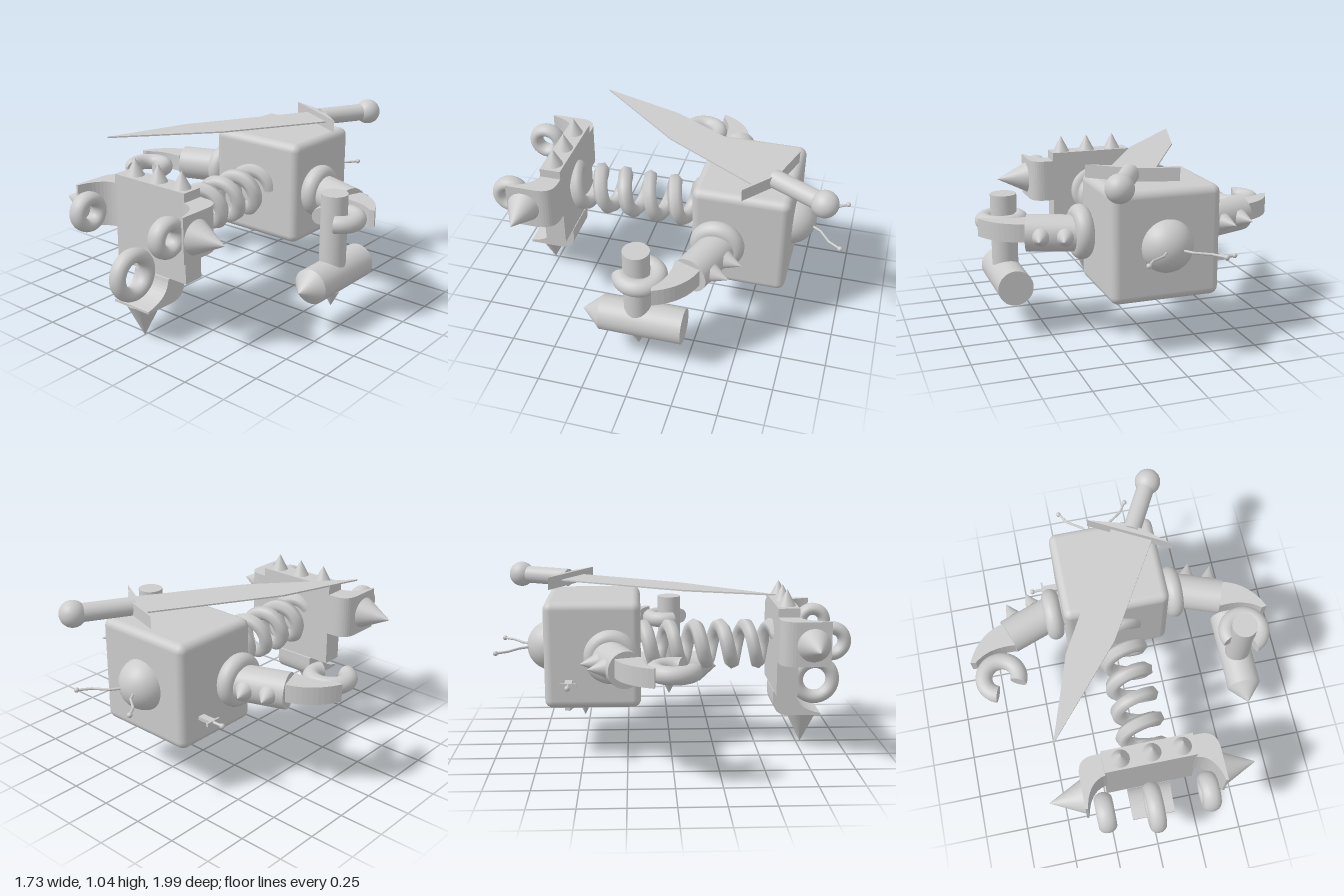
import * as THREE from 'three';
import { RoundedBoxGeometry } from 'three/addons/geometries/RoundedBoxGeometry.js';

const V = (x, y, z) => new THREE.Vector3(x, y, z);
const UP = V(0, 1, 0);

export function createModel() {
  const model = new THREE.Group();
  model.name = 'springRobot';
  const grey = new THREE.MeshStandardMaterial({ color: 0xcccccc });
  const thin = new THREE.MeshStandardMaterial({ color: 0xcccccc, side: THREE.DoubleSide });

  const add = (name, geo, pos = V(0, 0, 0), mat = grey) => {
    const mesh = new THREE.Mesh(geo, mat);
    mesh.name = name;
    mesh.position.copy(pos);
    model.add(mesh);
    return mesh;
  };
  // Cylinder or cone running from a to b
  const rod = (name, a, b, r0, r1 = r0, sides = 32) => {
    const d = b.clone().sub(a);
    const geo = new THREE.CylinderGeometry(r1, r0, d.length(), sides);
    const mesh = add(name, geo, a.clone().add(b).multiplyScalar(0.5));
    mesh.quaternion.setFromUnitVectors(UP, d.normalize());
    return mesh;
  };
  const ball = (name, pos, r) => add(name, new THREE.SphereGeometry(r, 32, 20), pos);
  const box = (name, w, h, d, pos) => add(name, new THREE.BoxGeometry(w, h, d), pos);
  // Plan outline in x and z, raised by a height in y
  const slab = (shape, height) => new THREE.ExtrudeGeometry(shape,
    { depth: height, bevelEnabled: false, curveSegments: 10 }).rotateX(-Math.PI / 2);
  const outline = pts => new THREE.Shape(pts.map(([x, z]) => new THREE.Vector2(x, -z)));

  // Body and head
  add('body', new RoundedBoxGeometry(0.6, 0.6, 0.535, 4, 0.045), V(0, 0.6, -0.44));
  ball('head', V(0, 0.6, -0.68), 0.145);
  for (const s of [-1, 1]) {
    const path = [[0.04, -0.8], [0.08, -0.86], [0.16, -0.915], [0.205, -0.98]].map(([x, z]) => V(s * x, 0.6, z));
    for (let i = 0; i < 3; i++) {
      rod('antenna', path[i], path[i + 1], 0.007, 0.007, 8);
      ball('antennaJoint', path[i + 1], i === 2 ? 0.014 : 0.007);
    }
  }

  // Face on the underside: eyes, brows and mouth
  for (const s of [-1, 1]) {
    rod('eye', V(s * 0.15, 0.3, -0.49), V(s * 0.15, 0.225, -0.49), 0.035, 0);
    box('brow', 0.18, 0.03, 0.03, V(s * 0.155, 0.29, -0.56)).rotation.y = s * 0.3;
  }
  const mouth = new THREE.TorusGeometry(0.085, 0.022, 12, 32, Math.PI).rotateX(-Math.PI / 2);
  add('mouth', mouth, V(0, 0.285, -0.325));

  // Switch on the right side
  box('switchBase', 0.09, 0.02, 0.04, V(-0.34, 0.46, -0.57));
  box('switchBar', 0.012, 0.02, 0.09, V(-0.385, 0.46, -0.57));
  rod('switchLever', V(-0.38, 0.46, -0.57), V(-0.45, 0.46, -0.57), 0.008);
  ball('switchKnob', V(-0.45, 0.46, -0.57), 0.015);

  // Spring between body and front bracket
  const coil = [];
  for (let i = 0; i <= 160; i++) {
    const a = i / 160 * Math.PI * 2 * 5.4;
    coil.push(V(0.105 * Math.cos(a), 0.6 + 0.105 * Math.sin(a), -0.19 + 0.8 * i / 160));
  }
  add('spring', new THREE.TubeGeometry(new THREE.CatmullRomCurve3(coil), 240, 0.042, 6), V(0, 0, 0), thin);

  // Arms
  for (const s of [-1, 1]) {
    add('shoulderRing', new THREE.TorusGeometry(0.1, 0.05, 20, 40).rotateY(Math.PI / 2), V(s * 0.355, 0.61, -0.335));
    const along = (t, n) => V(s * (0.38 + 0.94 * t + 0.34 * n), 0.605, -0.34 + 0.34 * t - 0.94 * n);
    rod('upperArm', along(-0.09, 0), along(0.265, 0), 0.1);
    for (const t of [0.05, 0.18]) rod('armSpike', along(t, 0.09), along(t, 0.187), 0.05, 0);

    // Curved, tapering forearm
    const arm = new THREE.Shape();
    arm.moveTo(s * 0.65, 0.31);
    arm.quadraticCurveTo(s * 0.8, 0.27, s * 0.865, 0.11);
    arm.lineTo(s * 0.835, 0.105);
    arm.quadraticCurveTo(s * 0.75, 0.18, s * 0.6, 0.165);
    add('forearm', slab(arm, 0.1), V(0, 0.57, 0));

    // Open ring hand with flat ends
    const start = THREE.MathUtils.degToRad(s < 0 ? 110 : 155);
    const arc = THREE.MathUtils.degToRad(275);
    const hand = V(s * 0.71, 0.62, -0.005);
    add('hand', new THREE.TorusGeometry(0.1, 0.048, 18, 40, arc).rotateZ(start).rotateX(Math.PI / 2), hand);
    for (const a of [start, start + arc]) {
      const end = V(hand.x + 0.1 * Math.cos(a), hand.y, hand.z + 0.1 * Math.sin(a));
      add('handEnd', new THREE.CircleGeometry(0.048, 18), end, thin).rotation.y = -a;
    }
  }

  // Hammer in the left hand
  const hx = 0.693;
  rod('hammerHandle', V(hx, 0.295, 0.018), V(hx, 0.765, 0.018), 0.073);
  rod('hammerHead', V(hx, 0.293, -0.24), V(hx, 0.293, 0.22), 0.098);
  rod('hammerPoint', V(hx, 0.293, 0.22), V(hx, 0.293, 0.33), 0.098, 0);
  rod('hammerSpike', V(hx, 0.2, 0.018), V(hx, 0.107, 0.018), 0.048, 0);

  // Sword above the body
  const blade = outline([[0.055, -0.625], [-0.33, 0.06], [-0.485, 0.535], [-0.06, 0.04], [0.265, -0.51]]);
  add('swordBlade', slab(blade, 0.008), V(0, 0.964, 0));
  add('swordGuard', slab(outline([[-0.07, -0.69], [0.36, -0.455], [0.17, -0.615]]), 0.07), V(0, 0.932, 0));
  rod('swordHandle', V(0.165, 0.968, -0.59), V(0.32, 0.968, -0.88), 0.05).scale.z = 1;
  ball('swordPommel', V(0.32, 0.968, -0.88), 0.073);

  // Front bracket: plate with three bent tabs, each carrying a cone
  box('bracketPlate', 0.5, 0.5, 0.12, V(0, 0.6, 0.65));
  const tab = s => {
    const p = new THREE.Shape();
    p.moveTo(s * 0.24, -0.59);
    p.lineTo(s * 0.29, -0.59);
    p.quadraticCurveTo(s * 0.385, -0.59, s * 0.385, -0.69);
    p.lineTo(s * 0.385, -0.866);
    p.lineTo(s * 0.372, -0.866);
    p.quadraticCurveTo(s * 0.345, -0.72, s * 0.24, -0.71);
    return p;
  };
  for (const s of [-1, 1]) {
    add('sideTab', slab(tab(s), 0.25), V(0, 0.55, 0));
    rod('sideCone', V(s * 0.375, 0.67, 0.77), V(s * 0.57, 0.67, 0.77), 0.098, 0);
    const ring = new THREE.TorusGeometry(0.073, 0.037, 18, 36).rotateY(Math.PI / 2);
    add('smallRing', ring, V(s * 0.285, 0.675, 0.88)).scale.x = 1.35;
  }
  add('lowerTab', slab(tab(1), 0.25).rotateZ(-Math.PI / 2), V(-0.125, 0.582, 0));
  rod('lowerCone', V(0, 0.2, 0.775), V(0, 0, 0.775), 0.098, 0);
  const bigRing = new THREE.TorusGeometry(0.107, 0.04, 18, 40).rotateY(Math.PI / 2);
  add('largeRing', bigRing, V(0, 0.382, 0.85)).scale.x = 1.2;
  for (const x of [-0.155, 0.015, 0.18]) rod('topSpike', V(x, 0.85, 0.65), V(x, 0.945, 0.65), 0.05, 0);

  return model;
}
